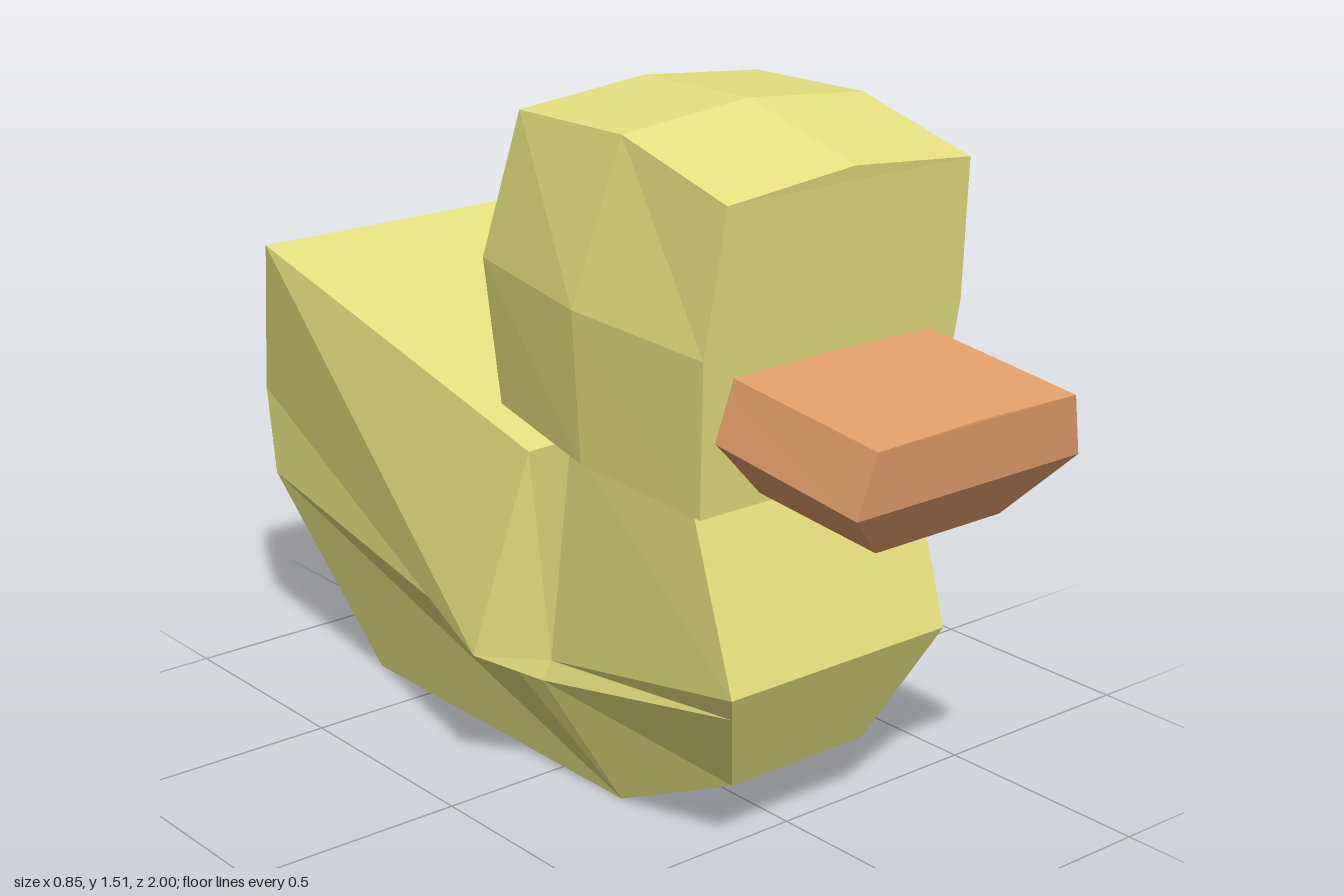
import * as THREE from 'three';

// Flat-shaded loft through half sections, mirrored in x. Sections run front to
// back; each lists [x, y, z] corners from top to bottom on the +x side.
function loft(name, color, sections) {
  const pos = [];
  const tri = (a, b, c) => {
    const area = new THREE.Vector3().subVectors(b, a).cross(new THREE.Vector3().subVectors(c, a));
    if (area.length() > 1e-7) for (const p of [a, b, c]) pos.push(p.x, p.y, p.z);
  };
  const quad = (a, b, c, d) => { tri(a, b, c); tri(a, c, d); };

  const rings = sections.map((half) => [
    ...half.map(([x, y, z]) => new THREE.Vector3(x, y, z)),
    ...half.slice().reverse().map(([x, y, z]) => new THREE.Vector3(-x, y, z)),
  ]);
  const n = rings[0].length;

  // Walls between neighbouring sections
  for (let k = 0; k < rings.length - 1; k++) {
    const s = rings[k], t = rings[k + 1];
    for (let i = 0; i < n; i++) {
      const j = (i + 1) % n;
      quad(s[i], s[j], t[j], t[i]);
    }
  }
  // End caps, as strips from side to side
  const front = rings[0], back = rings[rings.length - 1];
  for (let i = 0; i < n / 2 - 1; i++) {
    const j = i + 1, mi = n - 1 - i, mj = n - 1 - j;
    quad(front[mi], front[mj], front[j], front[i]);
    quad(back[i], back[j], back[mj], back[mi]);
  }

  const geo = new THREE.BufferGeometry();
  geo.setAttribute('position', new THREE.Float32BufferAttribute(pos, 3));
  geo.computeVertexNormals();
  const mesh = new THREE.Mesh(geo, new THREE.MeshStandardMaterial({ color, flatShading: true }));
  mesh.name = name;
  return mesh;
}

export function createModel() {
  const group = new THREE.Group();
  group.name = 'duck';
  const yellow = 0xe6e17f, orange = 0xe5a16c;

  // Body: breast, neck seam, flared wing step, tail
  group.add(loft('body', yellow, [
    [[0.295, 0.82, 0.52], [0.29, 0.41, 0.65], [0.267, 0.355, 0.625], [0.18, 0.15, 0.53]],
    [[0.31, 0.825, 0.175], [0.3, 0.31, 0.09], [0.315, 0.265, 0.08], [0.2, 0, 0.2]],
    [[0.352, 0.785, 0.09], [0.425, 0.32, -0.015], [0.32, 0.26, 0], [0.2, 0, 0.2]],
    [[0.352, 1.015, -0.89], [0.3, 0.64, -1], [0.3, 0.435, -0.97], [0.2, 0, -0.7]],
  ]));

  // Head: gently ridged top, cheeks widest at mid height
  group.add(loft('head', yellow, [
    [[0, 1.43, 0.655], [0.315, 1.4, 0.65], [0.34, 1.1, 0.615], [0.315, 0.77, 0.58]],
    [[0, 1.51, 0.35], [0.315, 1.48, 0.345], [0.38, 1.13, 0.27], [0.352, 0.805, 0.26]],
    [[0, 1.505, 0.03], [0.315, 1.475, 0.025], [0.345, 1.16, -0.065], [0.315, 0.845, -0.05]],
  ]));

  // Beak: wide bill with an undercut lower half, set into the face
  group.add(loft('beak', orange, [
    [[0, 1.015, 1], [0.26, 1.01, 1], [0.293, 0.88, 0.985], [0.165, 0.765, 0.905]],
    [[0, 1.068, 0.5], [0.26, 1.063, 0.5], [0.293, 0.935, 0.5], [0.165, 0.8, 0.5]],
  ]));

  return group;
}
